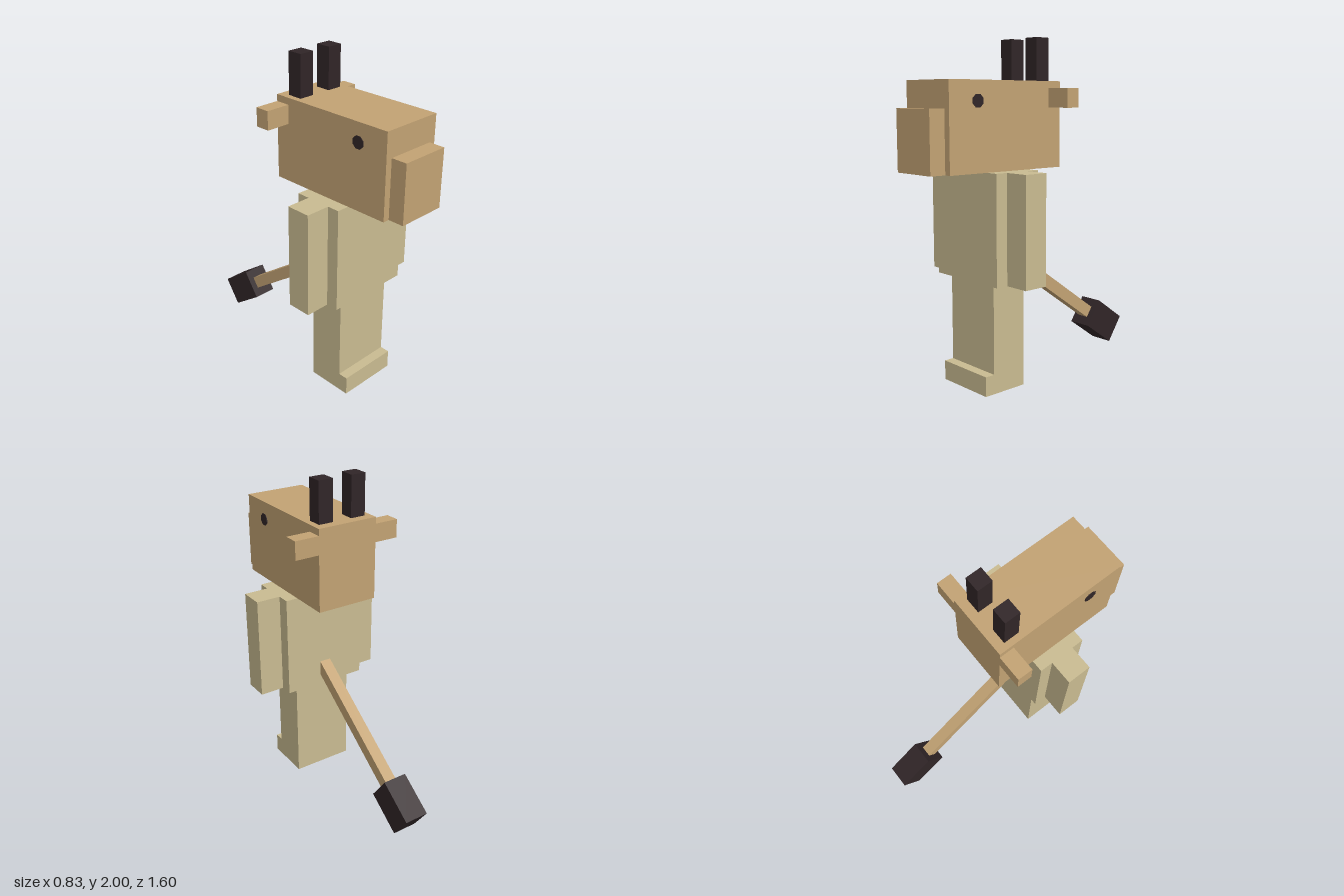
import * as THREE from 'three';

const paint = (name, color) => {
  const m = new THREE.MeshStandardMaterial({ color });
  m.name = name;
  return m;
};

export function createModel() {
  const tan = paint('tan hide', 0xc2a273);
  const khaki = paint('khaki body', 0xc9bb91);
  const dark = paint('dark horn', 0x302527);
  const model = new THREE.Group();
  model.name = 'hornedFigure';

  // Box given by its extents on each axis
  const block = (name, material, [x0, x1], [y0, y1], [z0, z1], parent = model) => {
    const mesh = new THREE.Mesh(new THREE.BoxGeometry(x1 - x0, y1 - y0, z1 - z0), material);
    mesh.position.set((x0 + x1) / 2, (y0 + y1) / 2, (z0 + z1) / 2);
    mesh.name = name;
    parent.add(mesh);
    return mesh;
  };

  // Legs and feet: one L-shaped side profile (z, y) extruded across x
  const profile = new THREE.Shape([
    [0.195, 0], [0.48, 0], [0.48, 0.115], [0.42, 0.115], [0.42, 0.635], [0.195, 0.635],
  ].map(([z, y]) => new THREE.Vector2(z, y)));
  const legGeometry = new THREE.ExtrudeGeometry(profile, { depth: 0.38, bevelEnabled: false });
  legGeometry.translate(0, 0, -0.19).rotateY(-Math.PI / 2);
  const legs = new THREE.Mesh(legGeometry, khaki);
  legs.name = 'legs';
  model.add(legs);

  // Torso, head and snout
  block('torso', khaki, [-0.265, 0.265], [0.635, 1.26], [0.155, 0.46]);
  block('head', tan, [-0.19, 0.19], [1.26, 1.755], [-0.09, 0.71]);
  block('snout', tan, [-0.15, 0.15], [1.26, 1.605], [0.71, 0.805]);

  // Mirrored arms, ears, horns and eyes
  for (const [side, s] of [['left', 1], ['right', -1]]) {
    const span = (a, b) => (s > 0 ? [a, b] : [-b, -a]);
    block(side + 'Arm', khaki, span(0.265, 0.415), [0.635, 1.26], [0.235, 0.385]);
    block(side + 'Ear', tan, span(0.19, 0.34), [1.605, 1.715], [-0.09, 0]);
    block(side + 'Horn', dark, span(0.06, 0.153), [1.755, 2], [-0.033, 0.06]);

    const eyeGeometry = new THREE.CylinderGeometry(0.038, 0.038, 0.006, 8);
    eyeGeometry.rotateY(Math.PI / 8).rotateZ(Math.PI / 2);
    const eye = new THREE.Mesh(eyeGeometry, dark);
    eye.position.set(s * 0.191, 1.645, 0.52);
    eye.name = side + 'Eye';
    model.add(eye);
  }

  // Tail sloping down and back, with a dark tuft
  const tail = new THREE.Group();
  tail.name = 'tail';
  tail.position.set(0, 0.745, 0.155);
  tail.rotation.x = THREE.MathUtils.degToRad(-35);
  block('tailShaft', tan, [-0.036, 0.036], [-0.037, 0.037], [-0.84, 0.04], tail);
  block('tailTuft', dark, [-0.075, 0.075], [-0.0925, 0.0925], [-1.1, -0.84], tail);
  model.add(tail);

  return model;
}
